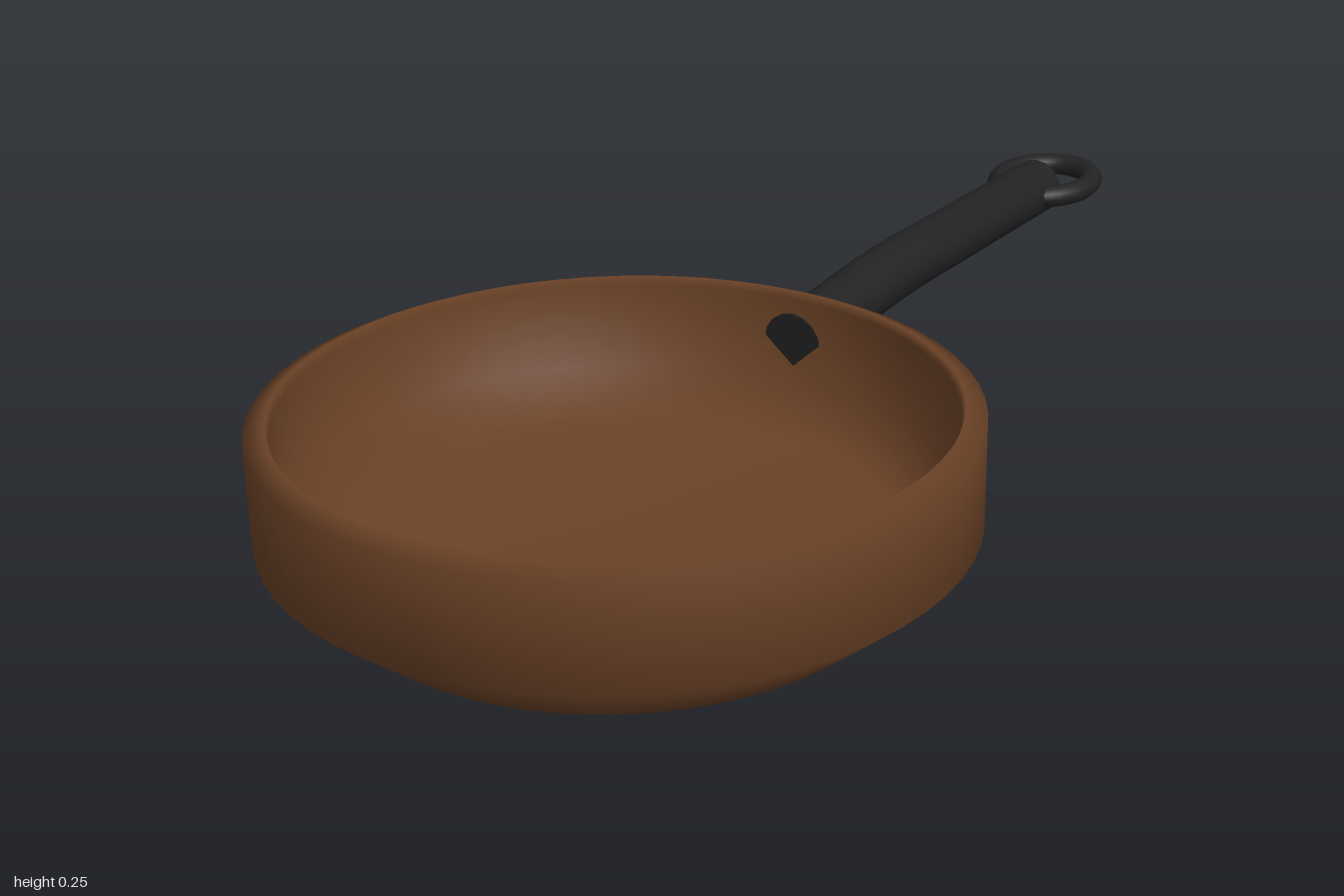
import * as THREE from 'three';

export function createModel() {
  const model = new THREE.Group();
  const copper = new THREE.MeshStandardMaterial({ color: 0x6b4226 });
  copper.name = 'brown copper';
  const iron = new THREE.MeshStandardMaterial({ color: 0x222222 });
  iron.name = 'black iron';

  const add = (name, geometry, material, parent = model) => {
    const mesh = new THREE.Mesh(geometry, material);
    mesh.name = name;
    parent.add(mesh);
    return mesh;
  };

  // Pan: one closed profile, up the outside, over the rim and down the inside
  const profile = [
    [0, 0], [0.4, 0], [0.5, 0.085], [0.5, 0.24], [0.47, 0.253],
    [0.465, 0.24], [0.465, 0.105], [0.39, 0.045], [0, 0.045],
  ].map(([r, y]) => new THREE.Vector2(r, y));
  add('pan', new THREE.LatheGeometry(profile, 64), copper).position.z = 0.5;

  // Handle: slightly arched round bar that pokes through the pan wall
  const handle = new THREE.Group();
  handle.name = 'handle';
  model.add(handle);
  const radius = 0.049;
  const path = new THREE.CatmullRomCurve3([
    new THREE.Vector3(0, 0.168, 0.037),
    new THREE.Vector3(0, 0.184, -0.26),
    new THREE.Vector3(0, 0.179, -0.5),
    new THREE.Vector3(0, 0.169, -0.835),
  ]);
  add('handleBar', new THREE.TubeGeometry(path, 20, radius, 16), iron, handle);

  // Flat caps close both ends of the bar
  for (const [name, t, sign] of [['handleInnerCap', 0, -1], ['handleOuterCap', 1, 1]]) {
    const cap = add(name, new THREE.CircleGeometry(radius, 16), iron, handle);
    const end = path.getPointAt(t);
    cap.position.copy(end);
    cap.lookAt(end.clone().addScaledVector(path.getTangentAt(t), sign));
  }

  // Oval hanging ring lying flat at the end of the handle
  const ring = new THREE.TorusGeometry(0.081, 0.019, 12, 40);
  ring.rotateX(Math.PI / 2);
  ring.scale(1, 1, 1.25);
  add('hangingRing', ring, iron).position.set(0, 0.169, -0.875);

  return model;
}
